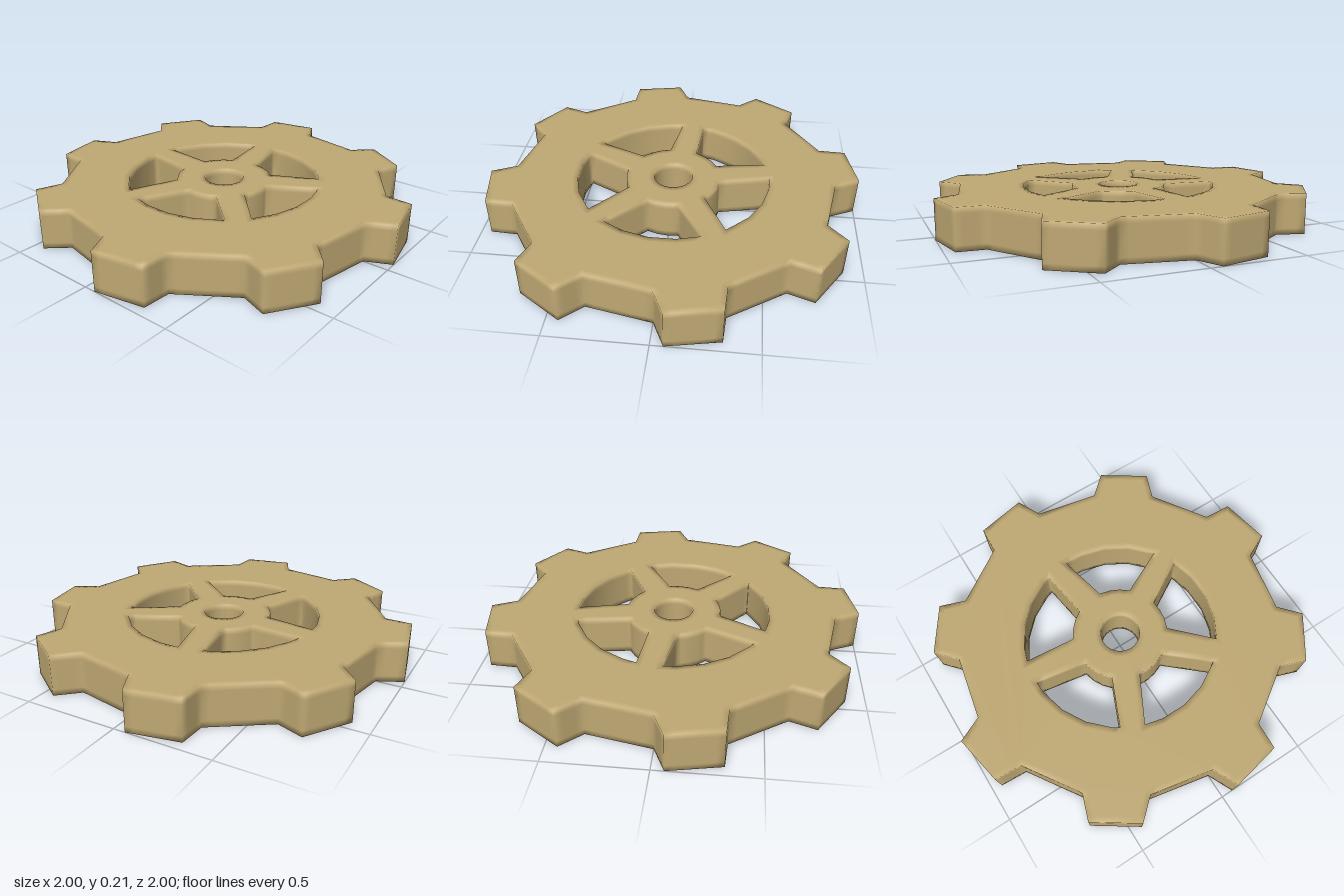
import * as THREE from 'three';

const HEIGHT = 0.21, EDGE = 0.03; // EDGE: width of the softly shaded band along every edge
const rad = THREE.MathUtils.degToRad;

// Point at a clockwise angle (degrees) from the back, seen from above
const polar = (r, deg) => new THREE.Vector2(r * Math.sin(rad(deg)), r * Math.cos(rad(deg)));

// Rim outline: eight teeth on a 16-sided wheel, counter-clockwise
function rimOutline() {
  const pts = [];
  for (let i = 0; i < 8; i++) {
    const a = i * 45 - 11.25;
    pts.push(polar(0.87, a - 11.25), polar(1.0018, a - 7.7), polar(1.0018, a + 7.7), polar(0.87, a + 11.25));
  }
  return pts.reverse();
}

// Opening between two spokes, clockwise
function windowOutline(i) {
  const spokeA = 7.4 + i * 72, spokeB = spokeA + 72, pts = [];
  pts.push(polar(0.52, spokeA + 7.1));
  for (let a = 7.5; a < 450; a += 15) {
    if (a > spokeA + 9 && a < spokeB - 9) pts.push(polar(0.52, a));
  }
  pts.push(polar(0.52, spokeB - 7.1));
  for (let k = 0; k <= 3; k++) {
    pts.push(polar(0.255, THREE.MathUtils.lerp(spokeB - 17, spokeA + 17, k / 3)));
  }
  return pts;
}

// Axle hole, clockwise
const axleOutline = () => Array.from({ length: 24 }, (_, i) => polar(0.105, i * 15));

// Adds a point on each side of every sharp corner so shading stays tight there
function supportCorners(pts) {
  const n = pts.length, out = [];
  pts.forEach((p, i) => {
    const toPrev = pts[(i + n - 1) % n].clone().sub(p), toNext = pts[(i + 1) % n].clone().sub(p);
    const turn = Math.PI - Math.acos(toPrev.dot(toNext) / (toPrev.length() * toNext.length()));
    const sharp = turn > rad(28);
    const step = (v) => p.clone().addScaledVector(v, Math.min(0.04, v.length() * 0.4) / v.length());
    if (sharp) out.push(step(toPrev));
    out.push(p);
    if (sharp) out.push(step(toNext));
  });
  return out;
}

// Moves an outline into the material, which lies on its left
function inset(pts, d) {
  const n = pts.length;
  const leftNormal = (a, b) => new THREE.Vector2(a.y - b.y, b.x - a.x).normalize();
  return pts.map((p, i) => {
    const n1 = leftNormal(pts[(i + n - 1) % n], p), n2 = leftNormal(p, pts[(i + 1) % n]);
    return p.clone().addScaledVector(n1.clone().add(n2), d / (1 + n1.dot(n2)));
  });
}

// Solid plate with square edges and narrow shading bands around them
function plateGeometry(outlines) {
  const position = [], index = [], topRing = [], bottomRing = [];
  const insets = outlines.map((o) => inset(o, EDGE));
  outlines.forEach((outline, k) => {
    const n = outline.length, start = position.length / 3;
    const rows = [
      [insets[k], HEIGHT], [outline, HEIGHT], [outline, HEIGHT - EDGE],
      [outline, EDGE], [outline, 0], [insets[k], 0],
    ];
    rows.forEach(([pts, y]) => pts.forEach((p) => position.push(p.x, y, -p.y)));
    for (let i = 0; i < n; i++) {
      topRing.push(start + i);
      bottomRing.push(start + 5 * n + i);
      for (let r = 0; r < 5; r++) {
        const a = start + r * n, b = a + n, j = (i + 1) % n;
        index.push(b + i, b + j, a + j, b + i, a + j, a + i);
      }
    }
  });
  // Top and bottom faces
  for (const [a, b, c] of THREE.ShapeUtils.triangulateShape(insets[0], insets.slice(1))) {
    index.push(topRing[a], topRing[b], topRing[c], bottomRing[a], bottomRing[c], bottomRing[b]);
  }
  const geometry = new THREE.BufferGeometry();
  geometry.setAttribute('position', new THREE.Float32BufferAttribute(position, 3));
  geometry.setIndex(index);
  geometry.computeVertexNormals();
  return geometry;
}

export function createModel() {
  const group = new THREE.Group();
  group.name = 'gear';
  const openings = [0, 1, 2, 3, 4].map(windowOutline);
  const outlines = [rimOutline(), ...openings, axleOutline()].map(supportCorners);
  const wheel = new THREE.Mesh(
    plateGeometry(outlines),
    new THREE.MeshStandardMaterial({ color: 0xbfa873 })
  );
  wheel.name = 'toothedWheel';
  group.add(wheel);
  return group;
}
